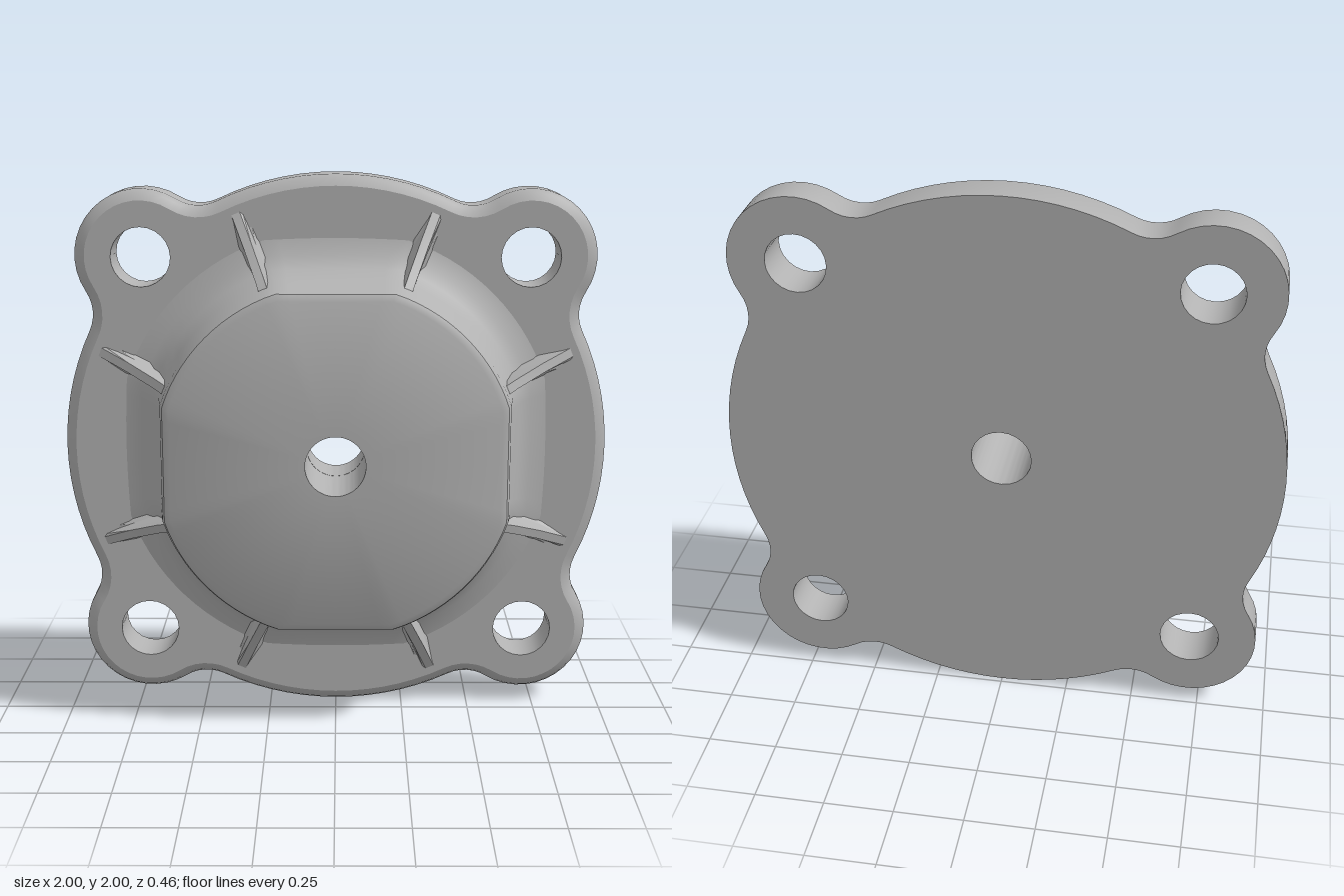
import * as THREE from 'three';
import { toCreasedNormals } from 'three/addons/utils/BufferGeometryUtils.js';

const BACK = -0.23, FACE = -0.062, FRONT = 0.23;
const LOBE = 0.705, BOLT_R = 0.108, BORE_R = 0.108;

// Skin a list of closed rings of [x, y, z] points
function loft(rings, crease = 0.6) {
  const n = rings[0].length, index = [];
  for (let j = 0; j < rings.length - 1; j++) {
    for (let i = 0; i < n; i++) {
      const k = (i + 1) % n;
      const a = j * n + i, b = j * n + k, c = a + n, d = b + n;
      index.push(a, b, d, a, d, c);
    }
  }
  const g = new THREE.BufferGeometry();
  g.setAttribute('position', new THREE.Float32BufferAttribute(rings.flat(2), 3));
  g.setIndex(index);
  return toCreasedNormals(g, crease);
}

const circle = (r, z, n, cx = 0, cy = 0) => Array.from({ length: n }, (_, i) => {
  const t = (i / n) * Math.PI * 2;
  return [cx + r * Math.cos(t), cy + r * Math.sin(t), z];
});

// Plate outline: a disc with four ears, blended by concave fillets
function outline(inset) {
  const R = 1 - inset, ear = 0.243 - inset, f = 0.15 + inset;
  const D = LOBE * Math.SQRT2, a = R + f, b = ear + f;
  const phi = Math.acos((a * a + D * D - b * b) / (2 * a * D));
  const psi = Math.atan2(a * Math.sin(phi), a * Math.cos(phi) - D);
  const pts = [];
  const arc = (cx, cy, r, from, to, n) => {
    for (let i = 0; i < n; i++) {
      const t = from + (to - from) * (i / n);
      pts.push([cx + r * Math.cos(t), cy + r * Math.sin(t)]);
    }
  };
  for (let q = 0; q < 4; q++) {
    const m = Math.PI / 4 + q * Math.PI / 2;
    const c1 = m - phi, c2 = m + phi;
    arc(0, 0, R, m - Math.PI / 2 + phi, c1, 14);
    arc(a * Math.cos(c1), a * Math.sin(c1), f, c1 + Math.PI, m - psi + Math.PI, 6);
    arc(D * Math.cos(m), D * Math.sin(m), ear, m - psi, m + psi, 16);
    arc(a * Math.cos(c2), a * Math.sin(c2), f, m + psi + Math.PI, c2 + Math.PI, 6);
  }
  return pts;
}

const boltCentres = [[1, 1], [-1, 1], [-1, -1], [1, -1]].map(([x, y]) => [x * LOBE, y * LOBE]);

// Flat plate face pierced by the bolt holes and the bore
function plateFace(inset, z, flip) {
  const shape = new THREE.Shape(outline(inset).map(([x, y]) => new THREE.Vector2(x, y)));
  const holes = [...boltCentres.map(([x, y]) => [x, y, BOLT_R]), [0, 0, BORE_R]];
  for (const [x, y, r] of holes) {
    const pts = circle(r, 0, 24, x, y).map(p => new THREE.Vector2(p[0], p[1]));
    shape.holes.push(new THREE.Path(pts));
  }
  const g = new THREE.ShapeGeometry(shape);
  if (flip) g.scale(1, 1, -1).index.array.reverse();
  g.computeVertexNormals();
  if (flip) g.translate(0, 0, z);
  else g.translate(0, 0, z);
  return g;
}

// Boss section: a circle slightly flattened on its four sides
function bossRing(offset, z, n = 96) {
  return Array.from({ length: n }, (_, i) => {
    const t = (i / n) * Math.PI * 2;
    const c = Math.cos(t), s = Math.sin(t);
    const r = Math.min(0.65, 0.615 / Math.max(Math.abs(c), Math.abs(s))) + offset;
    return [r * c, r * s, z];
  });
}

export function createModel() {
  const model = new THREE.Group();
  model.name = 'flangeCover';
  const metal = new THREE.MeshStandardMaterial({ color: 0xb2b2b2 });
  metal.name = 'cast grey';
  const add = (name, geometry) => {
    const mesh = new THREE.Mesh(geometry, metal);
    mesh.name = name;
    mesh.position.y = 1;
    model.add(mesh);
    return mesh;
  };

  // Plate: rounded rim, front and back faces
  const rim = [[0, BACK], [0, -0.1], [0.012, -0.078], [0.04, FACE]];
  add('plateRim', loft(rim.map(([inset, z]) => outline(inset).map(([x, y]) => [x, y, z]))));
  add('plateFront', plateFace(0.04, FACE, false));
  add('plateBack', plateFace(0, BACK, true));

  // Bolt hole walls
  boltCentres.forEach(([x, y], i) => {
    add('boltHole' + (i + 1), loft([circle(BOLT_R, FACE, 24, x, y), circle(BOLT_R, BACK, 24, x, y)]));
  });

  // Boss: coved foot, wall, rounded edge, flat top and centre bore
  const profile = [[0.17, -0.065], [0.1, -0.045], [0.055, -0.01], [0.025, 0.06],
    [0.005, 0.19], [-0.005, 0.215], [-0.03, FRONT]];
  add('boss', loft([
    ...profile.map(([o, z]) => bossRing(o, z)),
    circle(BORE_R, FRONT, 96), circle(BORE_R, BACK, 96),
  ]));

  // Eight tapering ribs, a pair beside each flat of the boss
  const crest = [[0.54, 0.19], [0.64, 0.15], [0.7, 0.09], [0.82, 0.0], [0.94, -0.066]];
  const ribGeometry = loft(crest.map(([r, z]) => {
    const top = 0.016, mid = 0.026, base = 0.055, low = -0.08;
    const waist = low + (z - low) * 0.35;
    return [[r, -base, low], [r, base, low], [r, mid, waist], [r, top, z],
      [r, -top, z], [r, -mid, waist]];
  }), 0.5);
  for (let q = 0; q < 4; q++) {
    for (const side of [-1, 1]) {
      const rib = add('rib', ribGeometry);
      rib.rotation.z = q * Math.PI / 2 + side * 0.395;
    }
  }
  return model;
}
